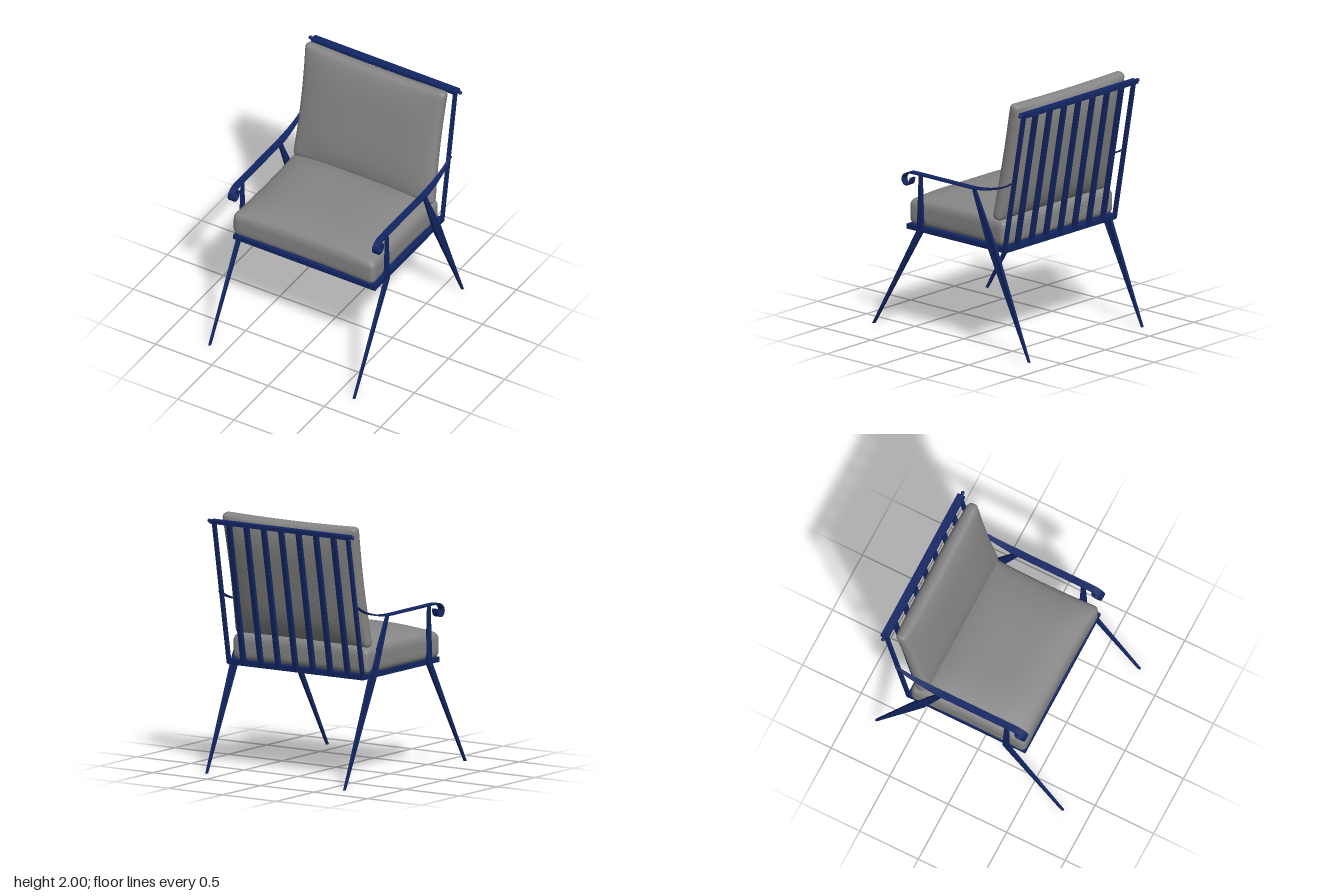
import * as THREE from 'three';
import { mergeVertices, toCreasedNormals } from 'three/addons/utils/BufferGeometryUtils.js';

const V2 = (p) => new THREE.Vector2(p[0], p[1]);

// Extrude a (z, y) side outline across x, centred on x = 0
function sideExtrude(points, width) {
  const geo = new THREE.ExtrudeGeometry(new THREE.Shape(points), { depth: width, bevelEnabled: false });
  geo.translate(0, 0, -width / 2);
  geo.rotateY(-Math.PI / 2);
  return geo;
}

// Scale the x of every vertex by a rule of its y and z
function scaleWidth(geo, rule) {
  const pos = geo.attributes.position;
  for (let i = 0; i < pos.count; i++) pos.setX(i, pos.getX(i) * rule(pos.getY(i), pos.getZ(i)));
  return geo;
}

// Bent strip: a smooth (z, y) path thickened on both sides
function strip(path, thickness, width, steps) {
  const curve = new THREE.SplineCurve(path.map(V2));
  const over = [], under = [];
  for (let i = 0; i <= steps; i++) {
    const p = curve.getPoint(i / steps), t = curve.getTangent(i / steps);
    const n = new THREE.Vector2(-t.y, t.x).multiplyScalar(thickness / 2);
    over.push(p.clone().add(n));
    under.unshift(p.clone().sub(n));
  }
  return toCreasedNormals(sideExtrude([...over, ...under], width), 0.7);
}

// Stuffed cushion: rounded box, thick along y, swollen in the middle, with pinched-in sides
function cushionGeometry(w, h, d, r, bulgeUp, bulgeDown, pinch) {
  let geo = new THREE.BoxGeometry(2, 2, 2, 28, 10, 28);
  geo.deleteAttribute('uv');
  geo.deleteAttribute('normal');
  geo = mergeVertices(geo);
  const half = new THREE.Vector3(w / 2, h / 2, d / 2);
  const inner = half.clone().subScalar(r);
  const pos = geo.attributes.position;
  const p = new THREE.Vector3(), core = new THREE.Vector3();
  const ease = (a) => Math.sin(a * Math.PI / 2);
  for (let i = 0; i < pos.count; i++) {
    p.fromBufferAttribute(pos, i);
    p.set(ease(p.x), ease(p.y), ease(p.z)).multiply(half);
    core.copy(p).clamp(inner.clone().negate(), inner);
    p.sub(core).setLength(r).add(core);
    const u = p.x / half.x, v = p.z / half.z;
    const swell = (1 - u ** 4) * (1 - v ** 4);
    p.y += (p.y > 0 ? bulgeUp : -bulgeDown) * swell * Math.min(1, Math.abs(p.y) / (half.y - r * 0.5));
    p.x *= 1 - pinch * (1 - v * v);
    p.z *= 1 - pinch * (1 - u * u);
    pos.setXYZ(i, p.x, p.y, p.z);
  }
  geo.computeVertexNormals();
  return geo;
}

export function createModel() {
  const chair = new THREE.Group();
  chair.name = 'armchair';
  const metal = new THREE.MeshStandardMaterial({ color: 0x122663 });
  const fabric = new THREE.MeshStandardMaterial({ color: 0x868686 });
  const add = (name, geo, mat, x = 0, y = 0, z = 0) => {
    const mesh = new THREE.Mesh(geo, mat);
    mesh.name = name;
    mesh.position.set(x, y, z);
    chair.add(mesh);
    return mesh;
  };

  // Seat base
  add('seatBase', new THREE.BoxGeometry(1.26, 0.04, 1.01), metal, 0, 0.83, -0.035);

  // Cushions
  add('seatCushion', cushionGeometry(1.265, 0.2, 0.985, 0.05, 0.082, 0, 0.025), fabric, -0.015, 0.944, -0.02);
  const back = add('backCushion', cushionGeometry(1.25, 0.09, 0.975, 0.04, 0.045, 0.07, 0.026), fabric, -0.005, 1.523, -0.517);
  back.rotation.x = Math.PI / 2 - 0.192;

  // Legs: knife-shaped blades from the foot past the seat to the arm, thickest at the seat
  const legWidth = (y) => (y < 0.5 ? 0.7 : y > 1 ? 0.6 : 1);
  const frontLeg = scaleWidth(sideExtrude([
    [0.805, 0], [0.785, 0], [0.286, 0.83], [0.30, 1.27], [0.33, 1.27], [0.345, 0.83],
  ].map(V2), 0.024), legWidth);
  const rearLeg = scaleWidth(sideExtrude([
    [-0.805, 0], [-0.465, 0.83], [-0.25, 1.27], [-0.215, 1.27], [-0.38, 0.83], [-0.79, 0],
  ].map(V2), 0.024), legWidth);
  for (const leg of [frontLeg, rearLeg]) leg.computeVertexNormals();

  // Arm: ribbon with a scroll in front, narrowing towards the back post
  const arm = scaleWidth(strip([
    [0.40, 1.23], [0.41, 1.19], [0.435, 1.172], [0.465, 1.175], [0.483, 1.205], [0.47, 1.242],
    [0.425, 1.268], [0.36, 1.274], [0.2, 1.274], [0, 1.274], [-0.2, 1.274], [-0.29, 1.279],
    [-0.4, 1.297], [-0.525, 1.333], [-0.63, 1.387],
  ], 0.012, 0.054, 84), (y, z) => 1 - 0.65 * THREE.MathUtils.clamp((-0.28 - z) / 0.35, 0, 1));

  // Back post
  const post = (width) => strip([[-0.528, 0.82], [-0.725, 1.93]], 0.03, width, 1);
  const backPost = post(0.024);

  for (const [side, s] of [['left', 1], ['right', -1]]) {
    add(side + 'FrontLeg', frontLeg, metal, s * 0.642);
    add(side + 'RearLeg', rearLeg, metal, s * 0.642);
    add(side + 'Arm', arm, metal, s * 0.641);
    add(side + 'BackPost', backPost, metal, s * 0.623);
    // Rail end knobs
    const neck = add(side + 'KnobNeck', new THREE.CylinderGeometry(0.012, 0.012, 0.03, 12), metal, s * 0.65, 1.942, -0.727);
    neck.rotation.z = Math.PI / 2;
    add(side + 'Knob', new THREE.SphereGeometry(0.015, 16, 12), metal, s * 0.666, 1.942, -0.727);
  }

  // Top rail and seven slats
  add('topRail', new THREE.BoxGeometry(1.29, 0.03, 0.062), metal, 0, 1.94, -0.727);
  const slat = post(0.037);
  for (let i = -3; i <= 3; i++) add('backSlat', slat, metal, i * 0.162);
  return chair;
}
